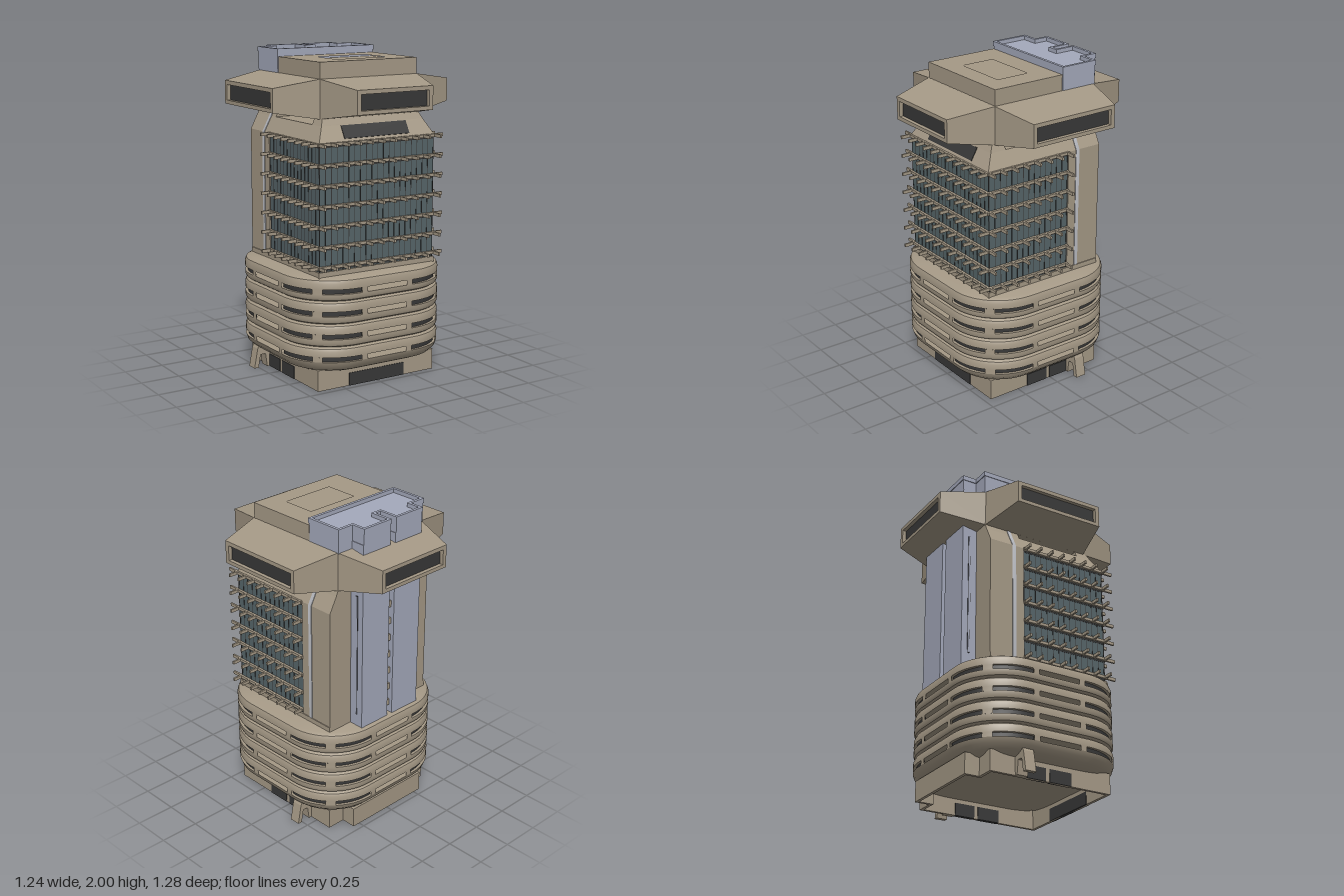
import * as THREE from 'three';
import { mergeGeometries, toCreasedNormals } from 'three/addons/utils/BufferGeometryUtils.js';

const mat = (name, color, side = THREE.FrontSide) => {
  const m = new THREE.MeshStandardMaterial({ color, side });
  m.name = name;
  return m;
};

// Closed solid through stacked rings of [x, y, z], counter-clockwise from above
function loft(rings, crease = 0.6) {
  const pos = [], n = rings[0].length;
  const tri = (...p) => p.forEach(q => pos.push(...q));
  const mid = r => [0, 1, 2].map(k => r.reduce((s, p) => s + p[k], 0) / n);
  const top = rings[rings.length - 1];
  for (let j = 0; j < n; j++) {
    const k = (j + 1) % n;
    for (let i = 0; i + 1 < rings.length; i++) {
      const a = rings[i], b = rings[i + 1];
      tri(a[j], a[k], b[k]);
      tri(a[j], b[k], b[j]);
    }
    tri(mid(rings[0]), rings[0][k], rings[0][j]);
    tri(mid(top), top[j], top[k]);
  }
  const g = new THREE.BufferGeometry();
  g.setAttribute('position', new THREE.Float32BufferAttribute(pos, 3));
  return toCreasedNormals(g, crease);
}

const rect = (x0, x1, z0, z1, y) => [[x1, y, z1], [x1, y, z0], [x0, y, z0], [x0, y, z1]];
const box = (x0, x1, y0, y1, z0, z1) =>
  new THREE.BoxGeometry(x1 - x0, y1 - y0, z1 - z0).translate((x0 + x1) / 2, (y0 + y1) / 2, (z0 + z1) / 2);

// Plan outline of [x, z] points raised from y0 to y1, with an optional hole
function plan(pts, y0, y1, hole) {
  const v = list => list.map(([x, z]) => new THREE.Vector2(x, -z));
  const s = new THREE.Shape(v(pts));
  if (hole) s.holes.push(new THREE.Path(v(hole)));
  return new THREE.ExtrudeGeometry(s, { depth: y1 - y0, bevelEnabled: false }).rotateX(-Math.PI / 2).translate(0, y0, 0);
}
const quad = (x0, x1, z0, z1) => [[x0, z0], [x1, z0], [x1, z1], [x0, z1]];
const mirrored = half => [...half, ...[...half].reverse().map(([x, z]) => [-x, z])];

// Open vertical wall along a plan path
function strip(path, y0, y1) {
  const pos = [], idx = [];
  path.forEach(([x, z], i) => {
    pos.push(x, y0, z, x, y1, z);
    if (i) { const a = 2 * i - 2; idx.push(a, a + 2, a + 3, a, a + 3, a + 1); }
  });
  const g = new THREE.BufferGeometry();
  g.setAttribute('position', new THREE.Float32BufferAttribute(pos, 3));
  g.setIndex(idx);
  g.computeVertexNormals();
  return g;
}

export function createModel() {
  const model = new THREE.Group();
  const tan = mat('concrete', 0xa59986);
  const wall = mat('concrete wall', 0xa59986, THREE.DoubleSide);
  const lilac = mat('lilac cladding', 0xa4a9bb);
  const glass = mat('curtain glass', 0x566569);
  const dark = mat('dark glazing', 0x383838, THREE.DoubleSide);
  const pale = mat('pale trim', 0xb8bac0);
  const add = (name, geo, m, parent = model) => {
    const mesh = new THREE.Mesh(geo, m);
    mesh.name = name;
    parent.add(mesh);
    return mesh;
  };

  // Podium: rounded square slabs separated by ribbon slots
  const podium = new THREE.Group();
  podium.name = 'podium';
  podium.position.z = 0.04;
  model.add(podium);
  const C = 0.2, R = 0.33;
  const arc = (r, a0, a1, n) => Array.from({ length: n + 1 }, (_, i) => {
    const a = THREE.MathUtils.degToRad(a0 + (a1 - a0) * i / n);
    return [C + r * Math.cos(a), -C - r * Math.sin(a)];
  });
  const ring = ([inset, y]) => {
    const out = [];
    for (let k = 0; k < 4; k++) {
      for (const [x, z] of arc(R - inset, 0, 90, 14)) {
        out.push([[x, y, z], [z, y, -x], [-x, y, -z], [-z, y, x]][k]);
      }
    }
    return out;
  };
  const slots = [[0.19, 0.22], [0.33, 0.36], [0.47, 0.5], [0.605, 0.635]];
  const creases = [0.28, 0.42, 0.56];
  add('podiumSoffit', loft([[0.22, 0.1], [0.14, 0.104], [0.08, 0.115], [0.04, 0.132], [0.012, 0.158], [0, 0.19]].map(ring)), tan, podium);
  creases.forEach((c, i) => add('podiumBand', loft([[0, slots[i][1]], [0, c - 0.026], [0.007, c - 0.01],
    [0.024, c], [0.007, c + 0.01], [0, c + 0.026], [0, slots[i + 1][0]]].map(ring)), tan, podium));
  add('podiumTop', loft([[0, 0.635], [0, 0.668], [0.008, 0.688], [0.03, 0.7]].map(ring)), tan, podium);

  // Slot walls and glazing, repeated around the four corners; mid-side slots stay open
  const posts = [[[0.53, -0.14], [0.53, -0.18]], arc(R, 39.5, 50.5, 3), [[0.18, -0.53], [0.14, -0.53]]];
  const panes = [[[0.512, -0.17], ...arc(R - 0.018, 0, 42, 8)], [...arc(R - 0.018, 48, 90, 8), [0.17, -0.512]]];
  for (const [y0, y1] of slots) {
    for (let k = 0; k < 4; k++) {
      add('slotPost', mergeGeometries(posts.map(p => strip(p, y0, y1))), wall, podium).rotation.y = k * Math.PI / 2;
      add('slotGlazing', mergeGeometries(panes.map(p => strip(p, y0, y1))), dark, podium).rotation.y = k * Math.PI / 2;
    }
  }

  // Hollow ground floor with doors and a splayed gate on each side
  const groundHalf = d => mirrored([[0.42 - d, 0.458 - d], [0.42 - d, -0.365 + d], [0.3 - d, -0.365 + d], [0.3 - d, -0.46 + d]]);
  add('groundWalls', plan(groundHalf(0), 0, 0.13, groundHalf(0.02)), tan);
  add('frontDoor', box(-0.2, 0.2, 0, 0.08, 0.435, 0.461), dark);
  const gate = new THREE.Shape([[0.41, 0], [0.44, 0], [0.452, 0.085], [0.488, 0.085], [0.503, 0], [0.532, 0], [0.508, 0.125],
    [0.49, 0.16], [0.41, 0.16]].map(p => new THREE.Vector2(...p)));
  for (const s of [-1, 1]) {
    for (const [z0, z1] of [[-0.13, 0.005], [0.03, 0.18]]) {
      add('sideDoor', box(s * 0.41 - 0.014, s * 0.41 + 0.014, 0, 0.08, z0, z1), dark);
    }
    const g = new THREE.ExtrudeGeometry(gate, { depth: 0.07, bevelEnabled: false }).translate(0, 0, -0.035);
    const mesh = add('splayedGate', g, tan);
    mesh.position.z = -0.165;
    mesh.rotation.y = s < 0 ? Math.PI : 0;
  }

  // Tower: glazed front, solid rear, tapered shoulder
  add('towerPlinth', box(-0.415, 0.415, 0.69, 0.73, -0.365, 0.465), tan);
  add('towerGlass', box(-0.405, 0.405, 0.73, 1.485, -0.13, 0.455), glass);
  add('rearCore', box(-0.41, 0.41, 0.69, 1.49, -0.365, -0.13), tan);
  for (const s of [-1, 1]) {
    const r = (x, y) => rect(s * x - 0.004, s * x + 0.004, -0.21, -0.185, y);
    add('cornerTrim', loft([r(0.41, 0.7), r(0.41, 1.49), r(0.36, 1.585), r(0.343, 1.625)]), pale);
  }
  add('shoulder', loft([rect(-0.41, 0.41, -0.365, 0.46, 1.49), rect(-0.36, 0.36, -0.365, 0.405, 1.585)]), tan);
  for (const [z0, z1, z2] of [[0.3, 0.405, 0.385], [-0.365, -0.13, -0.13]]) {
    add('shoulderCap', loft([rect(-0.36, 0.36, z0, z1, 1.585), rect(-0.343, 0.343, z0, z2, 1.625)]), tan);
  }
  const louvre = add('louvrePanel', new THREE.BoxGeometry(0.46, 0.084, 0.008), dark);
  louvre.position.set(0, 1.545, 0.4282);
  louvre.rotation.x = -0.525;

  // Thin mullions, floor ledges and projecting brackets
  const mullions = [], ledges = [], lines = [], brackets = [];
  for (let i = -10; i <= 10; i++) mullions.push(box(i * 0.0405 - 0.002, i * 0.0405 + 0.002, 0.73, 1.485, 0.453, 0.4565));
  for (let i = 0; i < 15; i++) {
    const z = 0.452 - i * 0.0412;
    for (const s of [-1, 1]) mullions.push(box(s * 0.405 - 0.0015, s * 0.405 + 0.0015, 0.73, 1.485, z - 0.002, z + 0.002));
  }
  for (let f = 0; f < 7; f++) {
    const y = 0.755 + f * 0.1217;
    ledges.push(box(-0.42, 0.42, y - 0.009, y + 0.009, -0.13, 0.47));
    lines.push(box(-0.4065, 0.4065, y - 0.02, y - 0.012, -0.13, 0.4565));
    for (let i = -5; i <= 5; i++) brackets.push(box(i * 0.082 - 0.006, i * 0.082 + 0.006, y - 0.01, y + 0.01, 0.45, 0.53));
    for (let i = 0; i < 8; i++) {
      const z = 0.455 - i * 0.082;
      for (const s of [-1, 1]) brackets.push(box(s * 0.44 - 0.036, s * 0.44 + 0.036, y - 0.01, y + 0.01, z - 0.006, z + 0.006));
    }
  }
  add('mullions', mergeGeometries(mullions), dark);
  add('floorLines', mergeGeometries(lines), dark);
  add('floorLedges', mergeGeometries(ledges), tan);
  add('brackets', mergeGeometries(brackets), tan);

  // Rear lift shafts with balconies between them
  for (const s of [-1, 1]) {
    add('liftShaft', box(s * 0.13 - 0.11, s * 0.13 + 0.11, 0.69, 1.9, -0.462, -0.36), lilac);
    add('shaftSlotFrame', box(s * 0.24 - 0.003, s * 0.24 + 0.003, 0.78, 1.57, -0.422, -0.406), dark);
    add('shaftSlot', box(s * 0.24 - 0.005, s * 0.24 + 0.005, 0.783, 1.567, -0.42, -0.408), lilac);
  }
  for (let f = 0; f < 8; f++) add('rearBalcony', box(-0.02, 0.02, 0.75 + f * 0.112, 0.79 + f * 0.112, -0.44, -0.36), tan);

  // Crown: central block with four tapering arms, each ending in a recessed window
  add('crownCore', box(-0.345, 0.345, 1.62, 1.855, -0.365, 0.362), tan);
  const arm = (name, angle, wi, di, wo, d) => {
    const g = new THREE.Group();
    g.name = name;
    g.rotation.y = angle;
    model.add(g);
    const w = wo - 0.027, r = (half, y0, y1, dist) => rect(-half, half, -y1, -y0, dist);
    const shell = loft([r(wi, 1.62, 1.855, di), r(wo, 1.667, 1.81, d), r(w, 1.69, 1.785, d), r(w, 1.69, 1.785, d - 0.03)], 0.2);
    add('armShell', shell.rotateX(Math.PI / 2), tan, g);
    add('armWindow', box(-w, w, 1.69, 1.785, d - 0.032, d - 0.024), dark, g);
  };
  arm('frontArm', 0, 0.345, 0.36, 0.265, 0.64);
  arm('rearArm', Math.PI, 0.345, 0.363, 0.265, 0.64);
  arm('leftArm', Math.PI / 2, 0.363, 0.344, 0.297, 0.622);
  arm('rightArm', -Math.PI / 2, 0.363, 0.344, 0.297, 0.622);

  // Roof block with a shallow recess
  add('roofBlock', box(-0.343, 0.343, 1.85, 1.93, -0.125, 0.36), tan);
  add('roofRim', plan(quad(-0.343, 0.343, -0.125, 0.36), 1.93, 1.953, quad(-0.155, 0.195, 0.02, 0.235)), tan);

  // Stepped penthouse with parapet
  const outline = d => mirrored([[0.35 - d, -0.125 - d], [0.35 - d, -0.375 + d], [0.24 - d, -0.375 + d],
    [0.24 - d, -0.467 + d], [0.02 + d, -0.467 + d], [0.02 + d, -0.34 + d]]);
  add('penthouse', plan(outline(0.004), 1.85, 1.975), lilac);
  add('parapet', plan(outline(0), 1.97, 2, outline(0.018)), lilac);
  return model;
}
